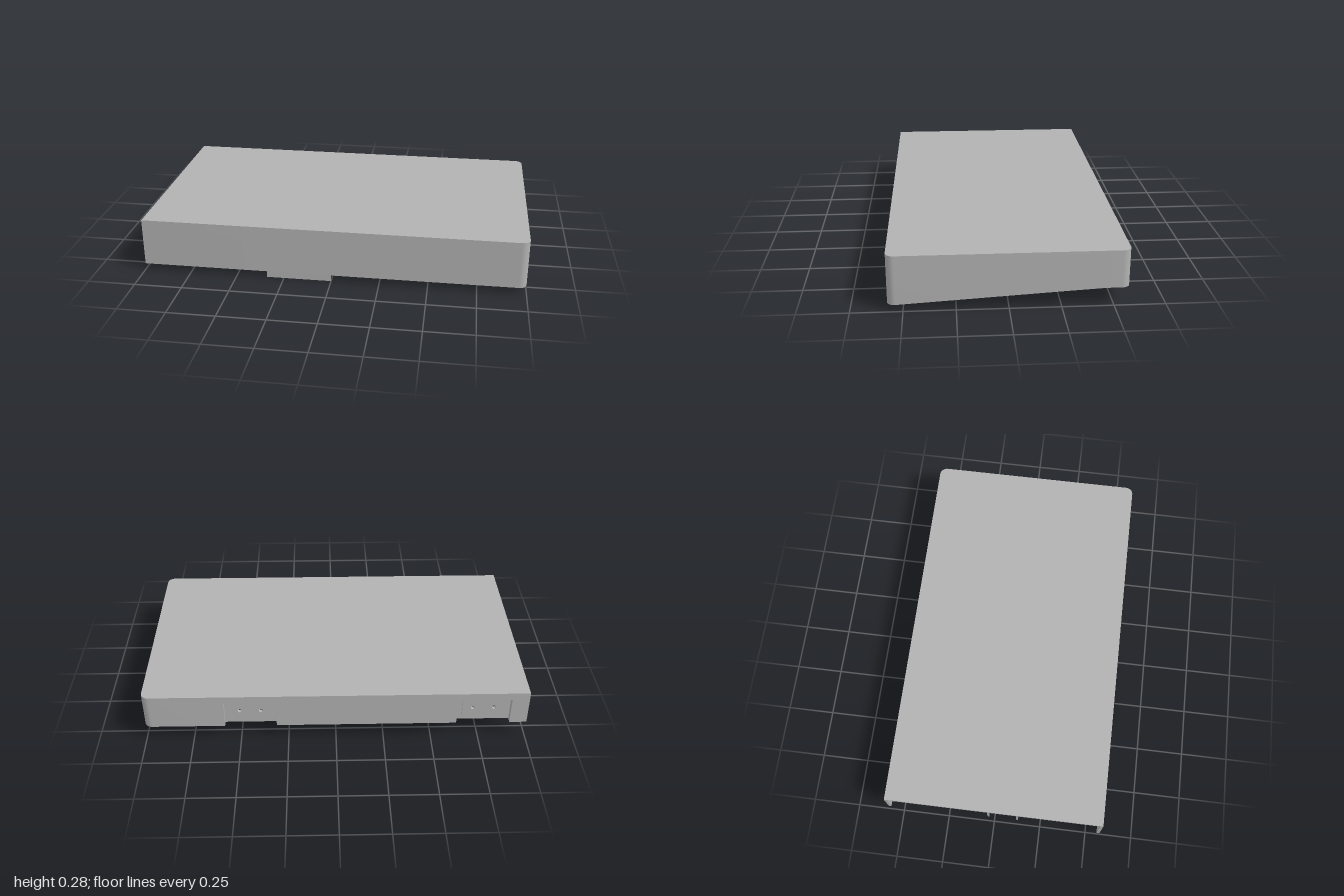
import * as THREE from 'three';
import { toCreasedNormals } from 'three/addons/utils/BufferGeometryUtils.js';

const X = 1, Z = 0.575, TOP = 0.285, T = 0.015, R = 0.04;
const CEILING = TOP - T, BREAK_Z = -0.45, REAR_Y = 0.093;

export function createModel() {
  const model = new THREE.Group();
  model.name = 'openCoverShell';
  const grey = new THREE.MeshStandardMaterial({ color: 0xb2b2b2 });
  grey.name = 'plain grey';

  const add = (geometry, name, parent = model) => {
    const mesh = new THREE.Mesh(geometry, grey);
    mesh.name = name;
    parent.add(mesh);
    return mesh;
  };
  // box given by its limits on each axis
  const box = (name, x0, x1, y0, y1, z0, z1, parent) => {
    const mesh = add(new THREE.BoxGeometry(x1 - x0, y1 - y0, z1 - z0), name, parent);
    mesh.position.set((x0 + x1) / 2, (y0 + y1) / 2, (z0 + z1) / 2);
    return mesh;
  };
  // floor-plan shape (drawn with y = -z) raised from y0 to y1
  const raise = (shape, y0, y1) => new THREE.ExtrudeGeometry(shape,
    { depth: y1 - y0, bevelEnabled: false, curveSegments: 8 })
    .rotateX(-Math.PI / 2).translate(0, y0, 0);
  // lower rim: sloping up towards the rear, then level
  const rimY = z => Math.min(REAR_Y, 0.033 + (Z - z) / (Z - BREAK_Z) * 0.06);

  // top panel, rounded at the closed end
  const plan = new THREE.Shape();
  plan.moveTo(-X, -Z);
  plan.lineTo(X - R, -Z);
  plan.absarc(X - R, -Z + R, R, -Math.PI / 2, 0, false);
  plan.lineTo(X, Z - R);
  plan.absarc(X - R, Z - R, R, 0, Math.PI / 2, false);
  plan.lineTo(-X, Z);
  plan.closePath();
  add(toCreasedNormals(raise(plan, CEILING, TOP), 0.6), 'topPanel');

  // front wall, closed end and first piece of the back wall
  const backStart = 0.58, r = R - T;
  const wall = new THREE.Shape();
  wall.moveTo(-X, -Z);
  wall.lineTo(X - R, -Z);
  wall.absarc(X - R, -Z + R, R, -Math.PI / 2, 0, false);
  wall.lineTo(X, -BREAK_Z);
  wall.lineTo(X, Z - R);
  wall.absarc(X - R, Z - R, R, 0, Math.PI / 2, false);
  wall.lineTo(backStart, Z);
  wall.lineTo(backStart, Z - T);
  wall.lineTo(X - R, Z - T);
  wall.absarc(X - R, Z - R, r, Math.PI / 2, 0, true);
  wall.lineTo(X - T, -BREAK_Z);
  wall.lineTo(X - T, -Z + R);
  wall.absarc(X - R, -Z + R, r, 0, -Math.PI / 2, true);
  wall.lineTo(-X, -Z + T);
  wall.closePath();
  const wallGeometry = raise(wall, 0, CEILING);
  const p = wallGeometry.attributes.position;
  for (let i = 0; i < p.count; i++) {
    if (p.getY(i) < 0.01) p.setY(i, rimY(p.getZ(i)));
  }
  wallGeometry.computeVertexNormals();
  add(toCreasedNormals(wallGeometry, 0.6), 'sideWalls');

  // rest of the back wall, interrupted by two pockets
  const zi = -Z + T;
  box('backWallMiddle', -0.63, 0.31, REAR_Y, CEILING, -Z, zi);
  box('backWallEnd', -X, -0.91, REAR_Y, CEILING, -Z, zi);

  // pockets: recessed plate with side cheeks and two screw holes
  for (const [x0, x1] of [[0.31, 0.58], [-0.91, -0.63]]) {
    const pocket = new THREE.Group();
    pocket.name = 'backPocket';
    model.add(pocket);
    const zp = -Z + 0.032, yt = 0.243;
    box('pocketLintel', x0, x1, yt, CEILING, -Z, zi, pocket);
    box('pocketRoof', x0 - 0.012, x1 + 0.012, yt, yt + 0.012, zi, zp + 0.012, pocket);
    box('pocketCheek', x0 - 0.012, x0, REAR_Y, yt, zi, zp + 0.012, pocket);
    box('pocketCheek', x1, x1 + 0.012, REAR_Y, yt, zi, zp + 0.012, pocket);
    const plate = new THREE.Shape();
    plate.moveTo(x0, REAR_Y);
    plate.lineTo(x1, REAR_Y);
    plate.lineTo(x1, yt);
    plate.lineTo(x0, yt);
    plate.closePath();
    const pad = new THREE.Shape();
    pad.moveTo(x0 + 0.02, 0.11);
    pad.lineTo(x1 - 0.03, 0.11);
    pad.lineTo(x1 - 0.03, 0.228);
    pad.lineTo(x0 + 0.02, 0.228);
    pad.closePath();
    for (const dx of [-0.055, 0.055]) {
      for (const s of [plate, pad]) {
        s.holes.push(new THREE.Path().absarc((x0 + x1) / 2 + dx, 0.175, 0.011, 0, Math.PI * 2, true));
      }
    }
    const layer = (s, z, depth, name) => {
      add(new THREE.ExtrudeGeometry(s, { depth, bevelEnabled: false }), name, pocket).position.z = z;
    };
    layer(plate, zp, 0.012, 'pocketPlate');
    layer(pad, zp - 0.008, 0.008, 'pocketPad');
  }

  // front tab with a row of catch teeth, and its backing plate
  box('frontTab', -0.34, 0, 0, 0.045, Z - 0.006, Z);
  const tooth = new THREE.Shape([[0, 0.004], [0.012, 0.015], [0, 0.024]]
    .map(([a, b]) => new THREE.Vector2(a, b)));
  for (let i = 0; i < 11; i++) {
    const mesh = add(new THREE.ExtrudeGeometry(tooth, { depth: 0.014, bevelEnabled: false }), 'catchTooth');
    mesh.rotation.y = Math.PI / 2;
    mesh.scale.x = 1;
    mesh.position.set(-0.337 + i * 0.032, 0, Z - 0.006);
  }
  box('tabBackingPlate', -0.41, 0.07, 0.042, 0.175, Z - T - 0.016, Z - T);
  // small ledges inside the front wall
  for (const x of [0.05, -0.94]) box('frontLedge', x, x + 0.12, 0.105, 0.112, Z - T - 0.008, Z - T);

  // hollow screw posts
  const post = (x, z, tip, radius, name) => {
    const inner = radius * 0.5;
    const profile = [[radius, CEILING], [radius, tip], [inner, tip], [inner, tip + 0.06], [0, tip + 0.06]]
      .map(([a, b]) => new THREE.Vector2(a, b)).reverse();
    const g = toCreasedNormals(new THREE.LatheGeometry(profile, 20), 0.6);
    add(g, name).position.set(x, 0, z);
  };
  for (const [x, z] of [[0.7, 0.49], [0.71, -0.44], [-0.94, 0.2], [-0.94, -0.1]]) {
    post(x, z, 0.11, 0.03, 'screwPost');
  }
  post(0.93, -0.525, 0.105, 0.022, 'cornerPost');
  post(0.92, 0.46, 0.105, 0.022, 'cornerPost');

  // tapered gussets bracing the posts
  const gusset = new THREE.Shape([[0.025, CEILING], [0.028, 0.14], [0.06, CEILING]]
    .map(([a, b]) => new THREE.Vector2(a, b)));
  const brace = (x, z, angle) => {
    const g = new THREE.ExtrudeGeometry(gusset, { depth: 0.008, bevelEnabled: false }).translate(0, 0, -0.004);
    const mesh = add(g, 'postGusset');
    mesh.rotation.y = angle;
    mesh.position.set(x, 0, z);
  };
  for (const [x, z] of [[0.7, 0.49], [0.71, -0.44]]) {
    for (let i = 0; i < 4; i++) brace(x, z, i * Math.PI / 2);
  }
  for (const z of [0.2, -0.1]) for (const a of [0, Math.PI / 2, -Math.PI / 2]) brace(-0.94, z, a);

  // upright fins at the open end
  for (const z of [0.125, -0.03]) box('endFin', -0.995, -0.885, 0.12, CEILING, z - 0.005, z + 0.005);

  // low ribs under the top panel
  for (const x of [-0.04, -0.375, -0.7]) box('ceilingRib', x - 0.003, x + 0.003, CEILING - 0.005, CEILING, -0.28, 0.41);

  return model;
}
